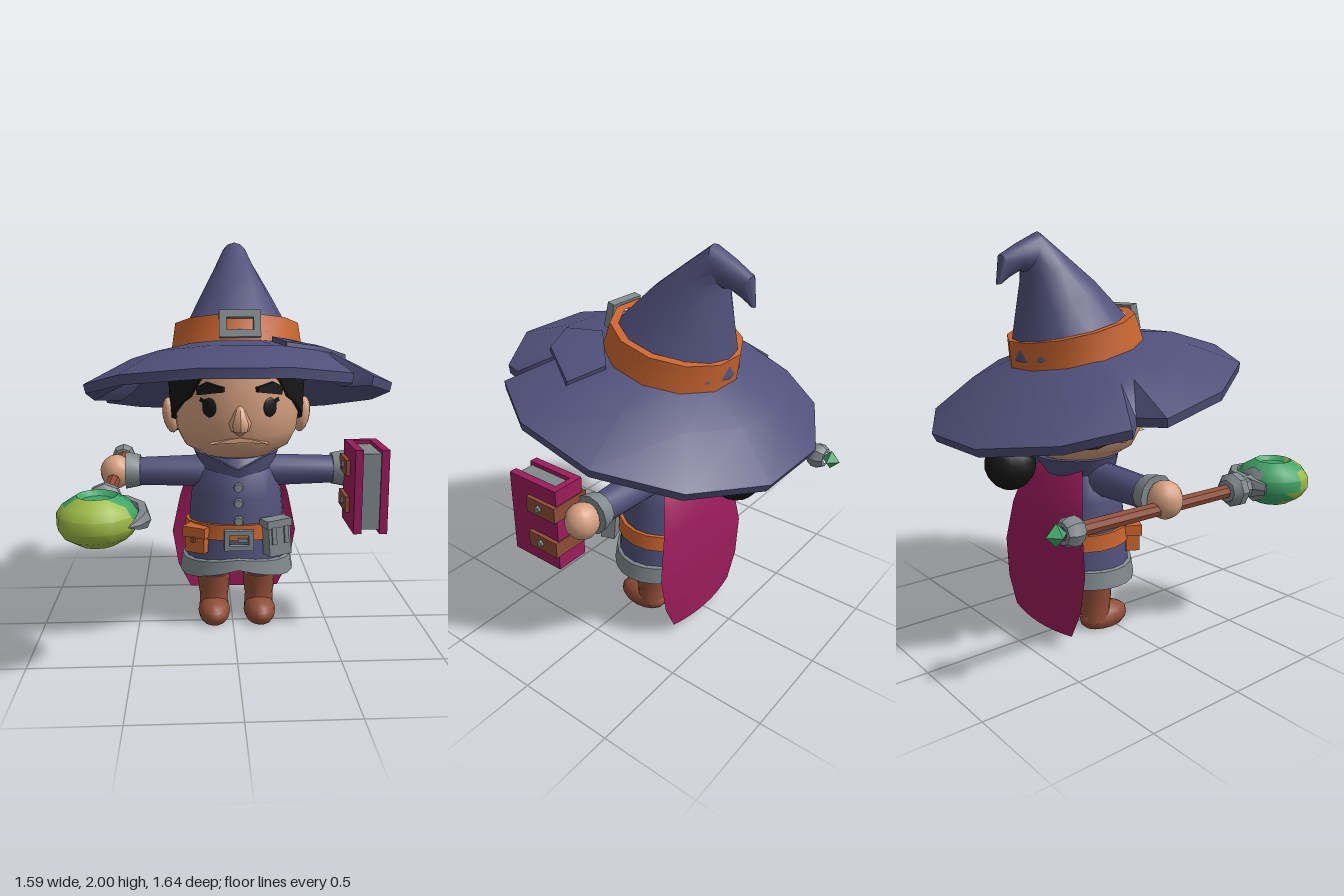
import * as THREE from 'three';
import { toCreasedNormals } from 'three/addons/utils/BufferGeometryUtils.js';

const mat = (name, color, side = THREE.FrontSide) => {
  const m = new THREE.MeshStandardMaterial({ color, side });
  m.name = name;
  return m;
};
const V = (x, y, z) => new THREE.Vector3(x, y, z);
const TAU = Math.PI * 2;

// Skin through rings of points (counterclockwise seen from the end ring)
function loft(rings, capStart = false, capEnd = false) {
  const n = rings[0].length, pts = rings.flat(), idx = [];
  for (let i = 0; i < rings.length - 1; i++) for (let j = 0; j < n; j++) {
    const a = i * n + j, b = i * n + (j + 1) % n;
    idx.push(a, b, b + n, a, b + n, a + n);
  }
  const cap = (ring, base, flip) => {
    const c = V(0, 0, 0);
    ring.forEach(p => c.addScaledVector(p, 1 / n));
    pts.push(c);
    for (let j = 0; j < n; j++) {
      const a = base + j, b = base + (j + 1) % n;
      idx.push(pts.length - 1, flip ? b : a, flip ? a : b);
    }
  };
  if (capStart) cap(rings[0], 0, true);
  if (capEnd) cap(rings.at(-1), (rings.length - 1) * n, false);
  const g = new THREE.BufferGeometry().setFromPoints(pts);
  g.setIndex(idx);
  return g;
}
// Horizontal ellipse; lift(x, z, angle) may raise each point
const ring = (y, rx, rz, cz = 0, n = 16, lift = () => 0) => Array.from({ length: n }, (_, j) => {
  const a = j / n * TAU, x = Math.sin(a) * rx, z = cz + Math.cos(a) * rz;
  return V(x, y + lift(x, z, a), z);
});
// Piecewise linear lookup in [[x, y], ...]
function lookup(t, x) {
  for (let i = 1; i < t.length; i++) if (x <= t[i][0]) {
    const [a, b] = [t[i - 1], t[i]];
    return a[1] + (b[1] - a[1]) * (x - a[0]) / (b[0] - a[0]);
  }
  return t.at(-1)[1];
}
const shape = pts => new THREE.Shape(pts.map(p => new THREE.Vector2(...p)));
const lathe = (pts, n) => new THREE.LatheGeometry(pts.map(p => new THREE.Vector2(...p)), n);
const box = (w, h, d) => new THREE.BoxGeometry(w, h, d);
const cyl = (a, b, h, n = 12) => new THREE.CylinderGeometry(a, b, h, n);
function frame(w, h, t, depth) {
  const rect = (x, y) => [[-x, -y], [x, -y], [x, y], [-x, y]];
  const s = shape(rect(w / 2, h / 2));
  s.holes.push(shape(rect(w / 2 - t, h / 2 - t)));
  return new THREE.ExtrudeGeometry(s, { depth, bevelEnabled: false });
}

export function createModel() {
  const navy = mat('navy cloth', 0x50507a), orange = mat('orange leather', 0xc8642f),
    grey = mat('grey metal', 0x7f888c), skin = mat('skin', 0xd6a080),
    black = mat('black hair', 0x171717, THREE.DoubleSide), magenta = mat('magenta cloth', 0x9a1c5a, THREE.DoubleSide),
    brown = mat('brown leather', 0x8e4c37), green = mat('green crystal', 0x3fa467), lime = mat('lime crystal', 0x9cba45);
  const model = new THREE.Group(), figure = new THREE.Group();
  figure.name = 'figure';
  figure.position.x = 0.025;
  model.add(figure);
  const add = (parent, name, geo, m, p = [0, 0, 0], r = [0, 0, 0], s = [1, 1, 1]) => {
    const mesh = new THREE.Mesh(toCreasedNormals(geo, 0.65), m);
    mesh.name = name;
    mesh.position.set(...p); mesh.rotation.set(...r); mesh.scale.set(...s);
    parent.add(mesh);
    return mesh;
  };
  const group = (name, parent = figure) => {
    const g = new THREE.Group();
    g.name = name;
    parent.add(g);
    return g;
  };

  // Hat: brim, band, buckle and patch share the backward tilt
  const hat = group('hat');
  hat.position.set(0, 1.45, -0.12);
  hat.rotation.x = -0.24;
  const outline = [[.204, .763], [.495, .578], [.5, .51], [.475, .42], [.605, .485], [.763, .204], [.763, -.204],
    [.558, -.558], [.204, -.763], [-.204, -.763], [-.558, -.558], [-.715, -.298], [-.625, -.195], [-.765, -.143],
    [-.763, .204], [-.558, .558], [-.204, .763]];
  const slope = [[0, 0], [.32, 0], [.57, -.077], [.79, -.207]];
  const round = (r, y) => outline.map(([x, z]) => V(x, 0, z).setLength(r).setY(y));
  const rim = (k, y) => outline.map(([x, z]) => V(x * k, y, z * k));
  add(hat, 'hatBrim', loft([round(.3, -.05), round(.5, -.11), rim(.9, -.215), rim(.985, -.25), rim(1, -.205),
    round(.55, -.07), round(.3, 0)]), navy);
  const patch = [[.155, .315], [.205, .5], [.385, .425], [.54, .165], [.365, .1]];
  const patchRing = (k, up) => patch.map(([x, z]) => {
    const px = .33 + (x - .33) * k, pz = .3 + (z - .3) * k;
    return V(px, lookup(slope, Math.hypot(px, pz)) + up, pz);
  });
  add(hat, 'hatPatch', loft([patchRing(1, -.02), patchRing(1, .018), patchRing(.5, .018)], false, true), navy);
  add(hat, 'hatBand', loft([ring(-.02, .345, .335, 0, 12), ring(.12, .325, .32, 0, 12), ring(.12, .28, .28, 0, 12)]), orange,
    [0, 0, 0], [0, Math.PI / 12, 0]);
  add(hat, 'hatBuckle', frame(.2, .13, .035, .04), grey, [0, .065, .315]);
  // Crown rings: front y, z, back y, z, half width
  const crown = [[1.56, .19, 1.4, -.45, .305], [1.78, -.04, 1.62, -.43, .19], [1.9, -.2, 1.76, -.415, .12],
    [2, -.335, 1.815, -.41, .075], [1.95, -.44, 1.82, -.44, .06], [1.895, -.54, 1.79, -.495, .04], [1.76, -.56, 1.765, -.535, .015]];
  add(figure, 'hatCrown', loft(crown.map(([fy, fz, by, bz, w]) => Array.from({ length: 14 }, (_, j) => {
    const a = j / 14 * TAU, c = Math.cos(a) / 2;
    return V(Math.sin(a) * w, (fy + by) / 2 + c * (fy - by), (fz + bz) / 2 + c * (fz - bz));
  })), false, true), navy);

  // Head and face
  const head = group('head');
  head.position.z = -0.1;
  add(head, 'face', lathe([[0, .905], [.19, .915], [.275, .965], [.318, 1.05], [.33, 1.15], [.33, 1.28], [.31, 1.4], [0, 1.42]], 20), skin);
  add(head, 'nose', lathe([[0, -.075], [.045, -.045], [.055, -.01], [.025, .06], [0, .085]], 8), skin, [0, 1.125, .32], [0, 0, 0], [1, 1, 1.35]);
  add(head, 'mouth', new THREE.ExtrudeGeometry(shape([[-.145, 1.01], [-.06, 1.018], [.06, 1.018], [.145, 1.01], [.05, 1.037], [0, 1.043], [-.05, 1.037]]),
    { depth: .08, bevelEnabled: false }), skin, [0, 0, .24]);
  for (const s of [-1, 1]) {
    const at = (a, r, y) => [s * Math.sin(a) * r, y, Math.cos(a) * r];
    add(head, 'eye', new THREE.SphereGeometry(1, 12, 8), black, at(.47, .328, 1.19), [0, s * .47, 0], [.038, .048, .008]);
    add(head, 'eyelash', box(.03, .018, .008), black, at(.58, .33, 1.222), [0, s * .58, s * .4]);
    add(head, 'eyebrow', new THREE.ExtrudeGeometry(shape([[-.07, -.005], [.065, -.025], [.07, .015], [.02, .04], [-.07, .018]].map(([x, y]) => [x * s, y])),
      { depth: .03, bevelEnabled: false }), black, at(.45, .315, 1.275), [0, s * .45, 0]);
    add(head, 'ear', new THREE.SphereGeometry(1, 10, 8), skin, [s * .345, 1.11, .01], [0, 0, -s * .15], [.042, .095, .052]);
  }
  // Hair: a shell whose lower edge runs around the face and ears
  const edge = [[0, 1.4], [.55, 1.35], [.75, 1.24], [1.05, 1.18], [1.3, 1.12], [1.6, 1.05], [1.9, 1], [Math.PI, .99]];
  const low = (x, z, a) => lookup(edge, Math.min(a, TAU - a));
  add(head, 'hair', loft([ring(0, .31, .31, 0, 32, low), ring(.005, .345, .335, 0, 32, low),
    ring(1.41, .36, .35, 0, 32, (x, z) => .245 * (z + .02))]), black);
  add(figure, 'hairTie', cyl(.075, .06, .06, 10), navy, [0, 1.01, -.425], [-1, 0, 0]);
  add(figure, 'hairBun', new THREE.SphereGeometry(.125, 12, 9), black, [0, .915, -.51]);

  // Tunic, collar, hem
  const cz = -.09;
  add(figure, 'tunic', loft([[.35, .275, .235], [.5, .26, .22], [.7, .24, .195], [.82, .21, .175], [.9, .14, .13]]
    .map(([y, rx, rz]) => ring(y, rx, rz, cz, 20)), true, true), navy);
  const dip = (x, z) => z > 0 ? -.07 * Math.max(0, 1 - Math.abs(x) / .15) : 0;
  add(figure, 'collar', loft([ring(.81, .18, .165, cz, 20, dip), ring(.92, .225, .215, -.12, 20, dip),
    ring(.92, .195, .185, -.12, 20, dip), ring(.84, .15, .14, cz, 20, dip)]), navy);
  const peak = (x, z) => z > cz ? .065 * Math.max(0, 1 - Math.abs(x) / .25) : 0;
  add(figure, 'hemTrim', loft([[.35, .2, .17], [.29, .27, .225], [.275, .305, .255], [.36, .29, .245], [.37, .26, .22]]
    .map(([y, rx, rz], i) => ring(y, rx, rz, cz, 24, i ? (x, z) => peak(x, z) * (i > 2 ? .5 : 1) : undefined))), grey);
  for (const [y, z] of [[.76, .098], [.68, .11], [.59, .122]])
    add(figure, 'button', cyl(.022, .028, .025, 8), grey, [0, y, z], [Math.PI / 2, 0, 0]);

  // Belt with buckle and pouches
  const tilt = (x, z) => .08 * (z - cz);
  add(figure, 'belt', loft([[.475, .25, .21], [.475, .28, .24], [.555, .272, .234], [.555, .24, .2]]
    .map(([y, rx, rz]) => ring(y, rx, rz, cz, 20, tilt))), orange);
  add(figure, 'beltBuckle', frame(.15, .105, .025, .03), grey, [0, .5, .14]);
  add(figure, 'buckleProng', box(.05, .018, .02), grey, [.02, .5, .155]);
  const pouch = group('pouch');
  pouch.position.set(-.21, .48, .075);
  pouch.rotation.y = -.5;
  add(pouch, 'pouchBag', box(.11, .12, .07), orange);
  add(pouch, 'pouchFlap', box(.13, .055, .09), orange, [0, .05, 0]);
  add(pouch, 'pouchStud', box(.02, .025, .015), brown, [0, .015, .05]);
  const satchel = group('metalCase');
  satchel.position.set(.195, .505, .125);
  satchel.rotation.set(-.06, .4, .06);
  add(satchel, 'caseBody', box(.125, .175, .075), grey);
  add(satchel, 'caseFlap', box(.14, .04, .09), grey, [0, .08, 0]);
  for (const x of [-.035, .035]) add(satchel, 'caseStrap', box(.025, .09, .012), grey, [x, .02, .042]);

  // Cape rows: y, half width, z
  const cape = [[.87, .17, -.23], [.76, .26, -.3], [.62, .305, -.335], [.4, .352, -.355], [.2, .32, -.362], [.06, .25, -.362]];
  const cg = new THREE.PlaneGeometry(2, 1, 8, cape.length - 1), cp = cg.attributes.position;
  for (let i = 0; i < cp.count; i++) {
    const [y, w, z] = cape[Math.floor(i / 9)], u = cp.getX(i);
    cp.setXYZ(i, u * w, y - (y < .1 ? .012 * (1 - u * u) : 0), z + .025 * u * u);
  }
  add(figure, 'cape', cg, magenta);

  // Arms, hands, legs and boots
  for (const s of [-1, 1]) {
    const side = [0, 0, -s * Math.PI / 2];
    add(figure, 'sleeve', cyl(.075, .088, .4), navy, [s * .33, .81, cz], side);
    add(figure, 'cuff', cyl(.1, .085, .075), grey, [s * .545, .815, cz], side);
    add(figure, 'hand', new THREE.SphereGeometry(1, 12, 9), skin, [s * .635, .81, cz], [0, 0, 0], [.085, .09, .083]);
    const x = s * .123;
    add(figure, 'trouserLeg', cyl(.078, .072, .2), navy, [x, .3, cz]);
    add(figure, 'bootCuff', cyl(.088, .08, .11), brown, [x, .187, cz]);
    add(figure, 'bootShaft', cyl(.074, .08, .12), brown, [x, .1, cz]);
    const foot = new THREE.SphereGeometry(1, 14, 10).scale(.086, .075, .142).translate(0, .045, 0), fp = foot.attributes.position;
    for (let i = 0; i < fp.count; i++) fp.setY(i, Math.max(0, fp.getY(i)));
    add(figure, 'bootFoot', foot, brown, [x, 0, -.036]);
  }

  // Book held at its spine
  const book = group('book');
  book.position.set(.647, .773, .122);
  for (const s of [-1, 1]) {
    add(book, 'bookCover', box(.04, .425, .295), magenta, [s * .065, 0, 0]);
    add(book, 'bookStrap', box(.21, .08, .18), brown, [0, s * .095, -.063]);
    for (const t of [-1, 1]) add(book, 'strapRivet', cyl(.016, .02, .012, 8), grey, [t * .11, s * .095, -.05], [0, 0, -t * Math.PI / 2]);
  }
  add(book, 'bookSpine', box(.17, .425, .035), magenta, [0, 0, -.13]);
  add(book, 'bookPages', box(.092, .385, .255), grey, [0, 0, .01]);

  // Staff with an orb, claw and end gem
  const staff = group('staff');
  staff.position.set(-.645, .778, 0);
  const along = [Math.PI / 2, 0, 0];
  add(staff, 'staffRod', cyl(.034, .034, 1.05, 8), brown, [0, 0, -.1], along);
  add(staff, 'staffCollar', lathe([[.03, -.06], [.055, -.055], [.085, -.02], [.085, .02], [.055, .05], [.055, .12], [.09, .15], [0, .16]], 8), grey, [0, 0, .36], along);
  add(staff, 'staffEndRing', lathe([[.03, -.045], [.05, -.045], [.068, -.015], [.068, .015], [.05, .045], [0, .045]], 8), grey, [0, 0, -.625], along);
  add(staff, 'endGem', new THREE.OctahedronGeometry(.052), green, [0, 0, -.7]);
  const orb = add(staff, 'orb', lathe([[0, -.085], [.06, -.09], [.085, -.11], [.15, -.07], [.178, -.025], [.178, .03], [.15, .07], [.09, .107], [.065, .085], [0, .08]], 12),
    [green, lime], [0, 0, .65]);
  const op = orb.geometry.attributes.position;
  for (let i = 0; i < op.count; i += 3) {
    const c = V(0, 0, 0), p = V(0, 0, 0);
    for (let k = 0; k < 3; k++) c.addScaledVector(p.fromBufferAttribute(op, i + k), 1 / 3);
    orb.geometry.addGroup(i, 3, c.z > .02 + .6 * c.y + .2 * c.x ? 1 : 0);
  }
  const claw = [[-2.1, .03], [-1.6, .06], [-1, .06], [-.4, .055], [.1, .045], [.5, .025], [.75, .004]];
  add(staff, 'orbClaw', loft(claw.map(([f, h]) => Array.from({ length: 6 }, (_, j) => {
    const a = j / 6 * TAU, r = .2 + Math.cos(a) * Math.min(.035, h * .8);
    return V(Math.cos(f) * r, Math.sin(a) * h, Math.sin(f) * r);
  })), true, true), grey, [0, 0, .65]);
  return model;
}
